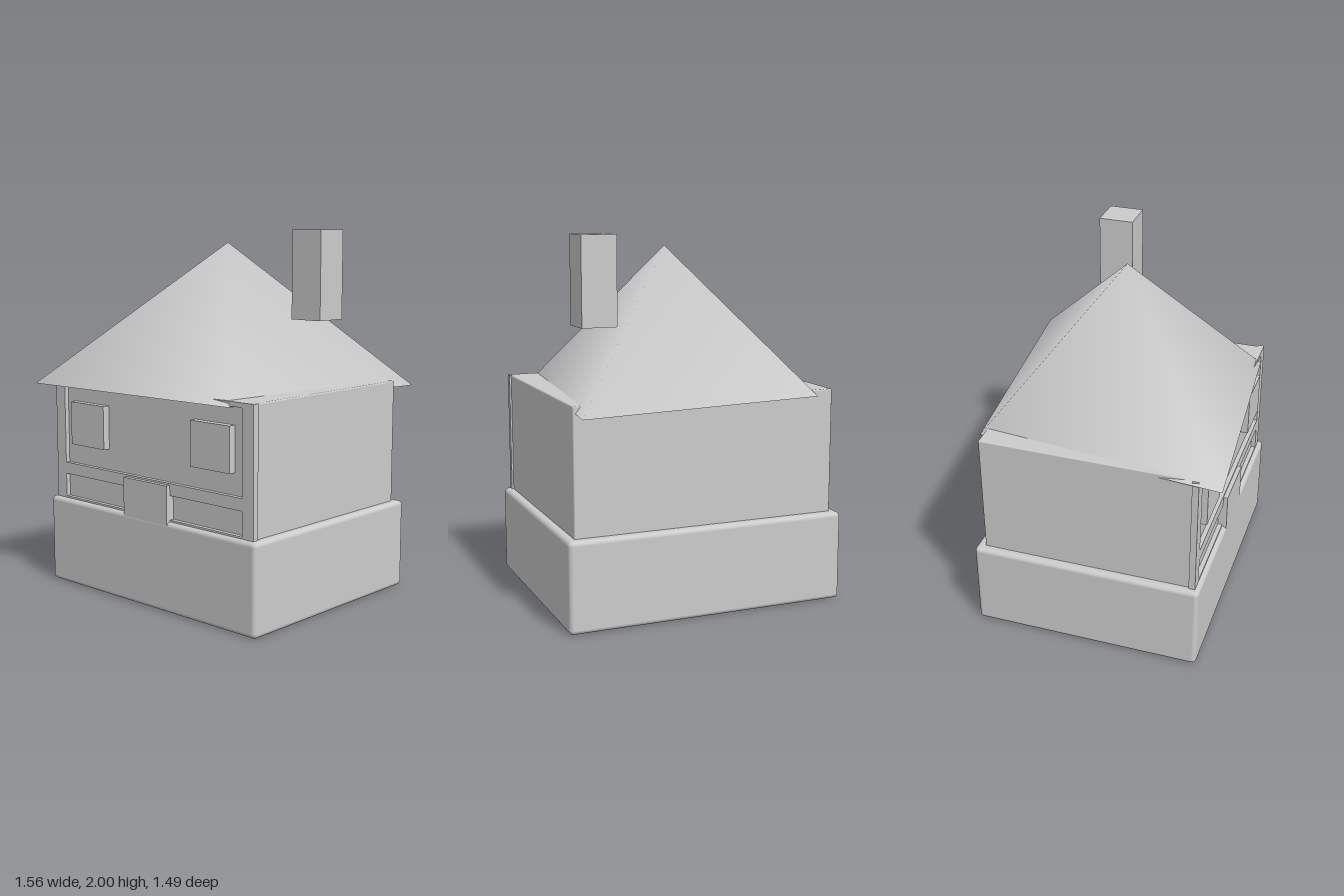
import * as THREE from 'three';
import { RoundedBoxGeometry } from 'three/addons/geometries/RoundedBoxGeometry.js';

const grey = new THREE.MeshStandardMaterial({ color: 0xcccccc });
const greyDouble = new THREE.MeshStandardMaterial({ color: 0xcccccc, side: THREE.DoubleSide });

export function createModel() {
  const house = new THREE.Group();
  house.name = 'house';

  // Box given by its minimum and maximum corners, with optional rounded edges
  const box = (name, min, max, radius = 0) => {
    const size = max.map((v, i) => v - min[i]);
    const geometry = radius
      ? new RoundedBoxGeometry(...size, 3, radius)
      : new THREE.BoxGeometry(...size);
    const mesh = new THREE.Mesh(geometry, grey);
    mesh.position.set(...max.map((v, i) => (v + min[i]) / 2));
    mesh.name = name;
    house.add(mesh);
  };

  // Foundation and main storey
  box('foundation', [-0.78, 0, -0.625], [0.78, 0.49, 0.64], 0.025);
  box('walls', [-0.735, 0.47, -0.575], [0.735, 1.17, 0.59], 0.008);

  // Front frame with two wide recesses
  const frame = new THREE.Shape();
  const rect = (path, x, y0, y1) =>
    path.moveTo(-x, y0).lineTo(x, y0).lineTo(x, y1).lineTo(-x, y1).closePath();
  rect(frame, 0.745, 0.48, 1.17);
  for (const [y0, y1] of [[0.5, 0.63], [0.695, 1.145]]) {
    const hole = new THREE.Path();
    rect(hole, 0.67, y0, y1);
    frame.holes.push(hole);
  }
  const frontFrame = new THREE.Mesh(
    new THREE.ExtrudeGeometry(frame, { depth: 0.035, bevelEnabled: false }), grey);
  frontFrame.position.z = 0.58;
  frontFrame.name = 'frontFrame';
  house.add(frontFrame);

  // Windows and door
  for (const side of [-1, 1]) {
    const x = side * 0.465;
    box(side > 0 ? 'leftWindow' : 'rightWindow',
      [x - 0.135, 0.81, 0.57], [x + 0.135, 1.05, 0.63]);
  }
  box('door', [-0.165, 0.3, 0.57], [0.165, 0.685, 0.639]);

  // Skewed four-sided roof with smooth slopes
  const corners = [[-0.77, 1.15, 0.74], [0.59, 1.14, 0.63], [0.74, 1.13, -0.745], [-0.63, 1.14, -0.61]];
  const polygons = (name, points, index) => {
    const geometry = new THREE.BufferGeometry();
    geometry.setAttribute('position', new THREE.Float32BufferAttribute(points.flat(), 3));
    geometry.setIndex(index);
    geometry.computeVertexNormals();
    const mesh = new THREE.Mesh(geometry, greyDouble);
    mesh.name = name;
    house.add(mesh);
  };
  polygons('roofSlopes', [...corners, [0.01, 1.93, 0]],
    [0, 1, 2, 3].flatMap((i) => [i, (i + 1) % 4, 4]));
  polygons('roofUnderside', corners, [0, 2, 1, 0, 3, 2]);

  // Chimney
  box('chimney', [0.39, 1.52, -0.285], [0.585, 2, -0.095]);

  return house;
}
